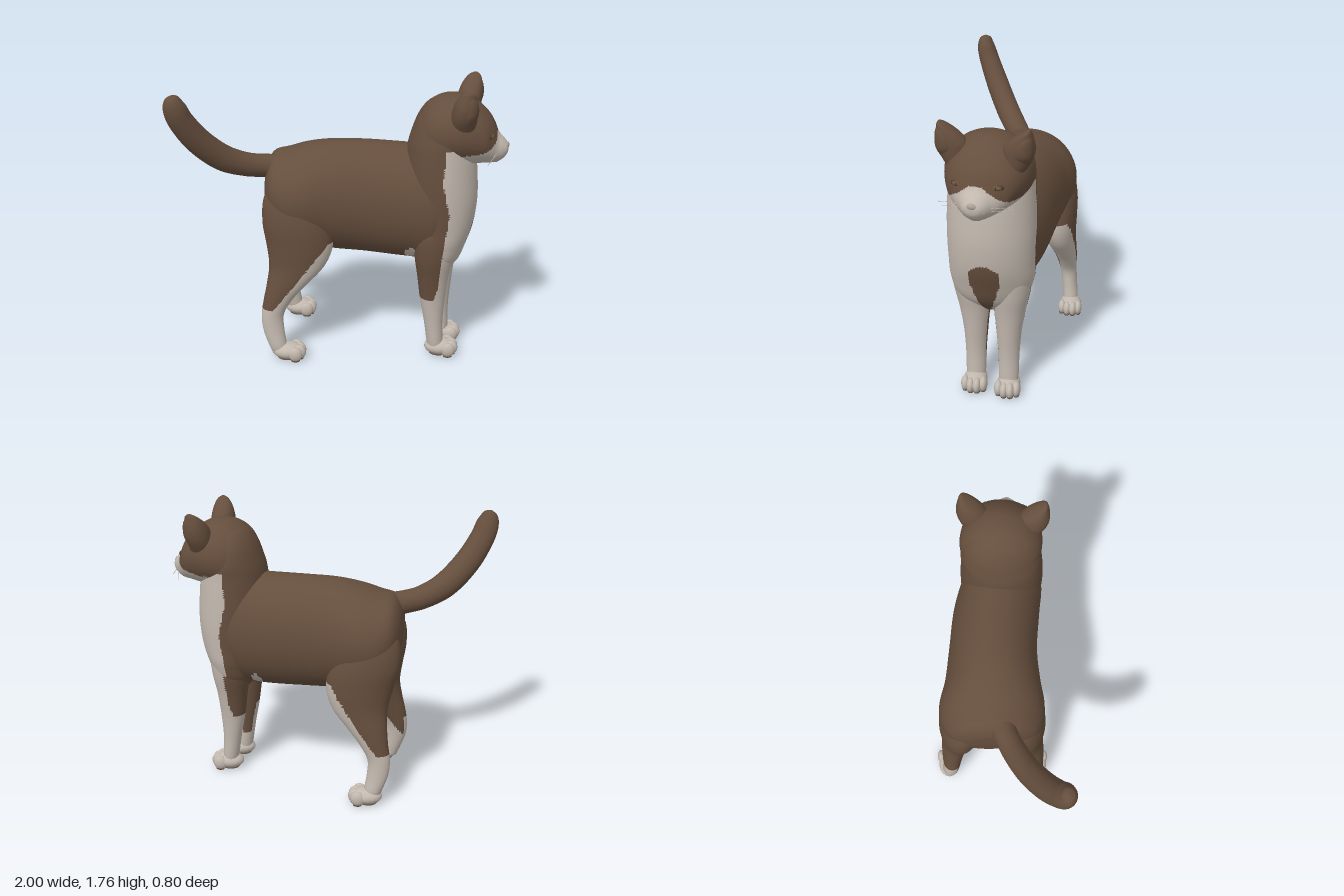
import * as THREE from 'three';

const mat = (name, color) => Object.assign(new THREE.MeshStandardMaterial({ color }), { name });
const brown = mat('brownFur', 0x654e3d);
const white = mat('whiteFur', 0xc2b8ae);
const dark = mat('darkBrown', 0x4c3b2f);
const iris = mat('iris', 0x6b543e);
const noseTone = mat('noseTone', 0xaea095);
const X = new THREE.Vector3(1, 0, 0), Y = new THREE.Vector3(0, 1, 0), Z = new THREE.Vector3(0, 0, 1);
const lerp = THREE.MathUtils.lerp, clamp = THREE.MathUtils.clamp;

// Smooth skin over elliptical sections [x, y, z, radius, radius across z].
// With no axis the sections follow the path. isWhite(x, y, z) picks the fur colour of each face.
function loft(name, sections, axis, isWhite = () => false, n = 64, m = 56) {
  const path = new THREE.CatmullRomCurve3(sections.map(s => new THREE.Vector3(s[0], s[1], s[2])), false, 'catmullrom');
  const radii = new THREE.CatmullRomCurve3(sections.map(s => new THREE.Vector3(s[3], s[4], 0)), false, 'catmullrom');
  const pts = [];
  for (let i = 0; i <= n; i++) {
    const c = path.getPoint(i / n), r = radii.getPoint(i / n);
    const T = axis || path.getTangent(i / n);
    const S = Z.clone().addScaledVector(T, -Z.dot(T)).normalize();
    const U = S.clone().cross(T);
    for (let j = 0; j < m; j++) {
      const a = j / m * Math.PI * 2;
      pts.push(c.clone().addScaledVector(S, Math.max(r.y, 0.002) * Math.cos(a))
        .addScaledVector(U, Math.max(r.x, 0.002) * Math.sin(a)));
    }
  }
  const start = pts.push(path.getPoint(0)) - 1, end = pts.push(path.getPoint(1)) - 1;
  const faces = [[], []];
  const add = (a, b, c) => {
    const p = pts[a].clone().add(pts[b]).add(pts[c]).divideScalar(3);
    faces[isWhite(p.x, p.y, p.z) ? 1 : 0].push(a, b, c);
  };
  for (let j = 0; j < m; j++) {
    const k = (j + 1) % m;
    for (let i = 0; i < n; i++) {
      const a = i * m + j, b = i * m + k;
      add(a, a + m, b);
      add(b, a + m, b + m);
    }
    add(start, j, k);
    add(end, n * m + k, n * m + j);
  }
  const geo = new THREE.BufferGeometry().setFromPoints(pts);
  geo.setIndex([...faces[0], ...faces[1]]);
  geo.addGroup(0, faces[0].length, 0);
  geo.addGroup(faces[0].length, faces[1].length, 1);
  geo.computeVertexNormals();
  const mesh = new THREE.Mesh(geo, [brown, white]);
  mesh.name = name;
  return mesh;
}

// Section helpers: [x, bottom, top, z, half width] and [y, back, front, z, half width]
const alongX = rows => rows.map(([x, b, t, z, w]) => [x, (b + t) / 2, z, (t - b) / 2, w]);
const alongY = (rows, dx = 0) => rows.map(([y, b, f, z, w]) => [(b + f) / 2 + dx, y, z, (f - b) / 2, w]);

function ball(name, material, pos, scale) {
  const mesh = new THREE.Mesh(new THREE.SphereGeometry(1, 18, 12), material);
  mesh.name = name;
  mesh.position.set(...pos);
  mesh.scale.set(...scale);
  return mesh;
}

function tube(name, material, points, r) {
  const curve = new THREE.CatmullRomCurve3(points.map(p => new THREE.Vector3(...p)));
  const mesh = new THREE.Mesh(new THREE.TubeGeometry(curve, 12, r, 6), material);
  mesh.name = name;
  return mesh;
}

// Fur markings
const edge = [[0.38, 0.57], [0.5, 0.61], [0.8, 0.63], [1.0, 0.655], [1.2, 0.61], [1.38, 0.62]];
function bibEdge(y) {
  for (let i = 1; i < edge.length; i++) {
    const [y0, x0] = edge[i - 1], [y1, x1] = edge[i];
    if (y < y1) return lerp(x0, x1, clamp((y - y0) / (y1 - y0), 0, 1));
  }
  return 0.62;
}
function chestWhite(x, y, z) {
  const half = 0.085 * Math.sqrt(clamp((0.94 - y) / 0.05, 0, 1)) * clamp((y - 0.5) / 0.3, 0, 1);
  if (x > 0.6 && Math.abs(z - 0.092) < half) return false;
  const armpit = Math.hypot((x - 0.435) / 0.03, (y - 0.71) / 0.05) < 1;
  return (x > bibEdge(y) && y < 1.4) || armpit;
}

function paw(name, x, z) {
  const g = new THREE.Group();
  g.name = name;
  g.position.set(x, 0, z);
  g.add(ball('pawBody', white, [0, 0.055, 0], [0.1, 0.053, 0.072]));
  [-0.054, -0.019, 0.019, 0.054].forEach((tz, i) => {
    const tx = i % 3 ? 0.068 : 0.048;
    g.add(ball('toe', white, [tx, 0.052, tz], [0.044, 0.048, 0.026]));
    g.add(ball('toePad', brown, [tx, 0.01, tz], [0.028, 0.01, 0.019]));
  });
  g.add(ball('mainPad', brown, [-0.01, 0.01, 0], [0.06, 0.01, 0.05]));
  return g;
}

function makeHead() {
  const head = new THREE.Group();
  head.name = 'head';
  head.position.set(0.62, 0, 0.06);
  head.rotation.y = -0.15;
  const headWhite = (x, y, z) =>
    x > 0.01 && y < 1.365 + 0.11 * clamp((0.2 - Math.abs(z)) / 0.165, 0, 1) ** 1.2;
  head.add(loft('skull', alongX([
    [-0.165, 1.43, 1.48, 0, 0.02], [-0.135, 1.32, 1.585, 0, 0.135], [-0.08, 1.25, 1.645, 0, 0.21],
    [0, 1.25, 1.68, 0, 0.243], [0.1, 1.26, 1.68, 0, 0.24], [0.18, 1.27, 1.645, 0, 0.215],
    [0.25, 1.28, 1.585, 0, 0.178], [0.29, 1.28, 1.53, 0, 0.134], [0.32, 1.285, 1.465, 0, 0.095],
    [0.353, 1.305, 1.43, 0, 0.068], [0.376, 1.335, 1.402, 0, 0.042], [0.383, 1.36, 1.38, 0, 0.01],
  ]), X, headWhite, 96, 80));
  head.add(ball('noseTip', noseTone, [0.369, 1.388, 0], [0.018, 0.02, 0.03]));
  head.add(ball('chin', white, [0.305, 1.302, 0], [0.035, 0.024, 0.045]));
  for (const s of [-1, 1]) {
    head.add(loft('ear', alongY([
      [1.5, 0.05, 0.19, s * 0.155, 0.06], [1.58, 0.05, 0.2, s * 0.175, 0.085], [1.64, 0.058, 0.203, s * 0.187, 0.087],
      [1.69, 0.075, 0.2, s * 0.206, 0.064], [1.725, 0.097, 0.192, s * 0.225, 0.037],
      [1.745, 0.118, 0.18, s * 0.238, 0.019], [1.756, 0.142, 0.162, s * 0.244, 0.006],
    ]), Y, undefined, 32, 28));
    // Raised front rim of the ear
    head.add(loft('earRim', alongY([
      [1.56, 0.12, 0.175, s * 0.205, 0.04], [1.61, 0.1, 0.205, s * 0.205, 0.062], [1.66, 0.1, 0.209, s * 0.212, 0.058],
      [1.7, 0.12, 0.2, s * 0.227, 0.038], [1.73, 0.145, 0.18, s * 0.24, 0.014],
    ]), Y, undefined, 20, 24));
    head.add(ball('eyeRim', dark, [0.27, 1.468, s * 0.1], [0.026, 0.021, 0.047]));
    head.add(ball('iris', iris, [0.279, 1.468, s * 0.103], [0.022, 0.016, 0.036]));
    head.add(ball('pupil', dark, [0.295, 1.468, s * 0.107], [0.007, 0.011, 0.007]));
    head.add(ball('muzzlePad', white, [0.326, 1.355, s * 0.032], [0.045, 0.036, 0.044]));
    head.add(tube('mouthLine', dark, [[0.366, 1.34, 0], [0.357, 1.322, s * 0.025], [0.327, 1.32, s * 0.06]], 0.002));
    head.add(tube('whisker', white, [[0.33, 1.35, s * 0.06], [0.305, 1.345, s * 0.13], [0.275, 1.32, s * 0.2]], 0.0016));
    head.add(tube('whisker', white, [[0.33, 1.36, s * 0.06], [0.315, 1.37, s * 0.13], [0.3, 1.36, s * 0.21]], 0.0016));
  }
  return head;
}

export function createModel() {
  const cat = new THREE.Group();
  cat.name = 'cat';

  cat.add(loft('torso', alongX([
    [-0.468, 1.04, 1.1, -0.02, 0.05], [-0.455, 0.92, 1.2, -0.02, 0.17], [-0.41, 0.82, 1.275, -0.02, 0.26],
    [-0.32, 0.74, 1.3, -0.02, 0.31], [-0.2, 0.7, 1.335, -0.02, 0.318], [-0.05, 0.665, 1.36, -0.01, 0.29],
    [0.15, 0.65, 1.365, 0, 0.272], [0.4, 0.635, 1.36, 0.03, 0.27], [0.58, 0.64, 1.36, 0.065, 0.255],
    [0.7, 0.75, 1.3, 0.07, 0.2], [0.76, 0.95, 1.1, 0.07, 0.05],
  ]), X, chestWhite, 90, 72));

  // Chest column running up into the nape
  cat.add(loft('chestAndNeck', alongY([
    [0.57, 0.54, 0.67, 0.075, 0.06], [0.66, 0.47, 0.74, 0.075, 0.2], [0.78, 0.45, 0.785, 0.07, 0.243],
    [0.9, 0.425, 0.82, 0.07, 0.25], [1.05, 0.4, 0.835, 0.07, 0.255], [1.2, 0.39, 0.828, 0.07, 0.253],
    [1.36, 0.402, 0.81, 0.068, 0.244], [1.45, 0.424, 0.79, 0.063, 0.237], [1.55, 0.462, 0.75, 0.062, 0.208],
    [1.62, 0.512, 0.71, 0.062, 0.15], [1.66, 0.57, 0.66, 0.062, 0.05],
  ]), Y, chestWhite, 130, 96));

  cat.add(loft('tail', [
    [-0.34, 1.19, 0.02, 0.085, 0.09], [-0.45, 1.21, 0.05, 0.072, 0.072], [-0.57, 1.235, 0.1, 0.073, 0.073],
    [-0.7, 1.3, 0.17, 0.08, 0.075], [-0.82, 1.425, 0.25, 0.08, 0.073], [-0.9, 1.56, 0.315, 0.075, 0.066],
    [-0.93, 1.65, 0.345, 0.068, 0.058], [-0.942, 1.71, 0.352, 0.042, 0.038], [-0.946, 1.728, 0.354, 0.008, 0.008],
  ], undefined, undefined, 56, 36));

  // Front legs: the right one stands slightly ahead of the left; brown runs lower on the inner sides
  for (const [side, s, cz, dx] of [['left', 1, 0.18, 0], ['right', -1, -0.025, 0.045]]) {
    const legWhite = (x, y, z) => {
      if (y > 0.18 && s * (z - cz) < -0.04) return x - dx > 0.605;
      return y < 0.41 || x > bibEdge(y) + dx * 0.5;
    };
    cat.add(loft(side + 'FrontLeg', alongY([
      [0.05, 0.56, 0.66, cz, 0.055], [0.12, 0.55, 0.655, cz, 0.06], [0.25, 0.53, 0.65, cz, 0.063],
      [0.4, 0.502, 0.66, cz, 0.074], [0.55, 0.482, 0.675, cz + s * 0.005, 0.092],
      [0.7, 0.46, 0.7, cz + s * 0.015, 0.112], [0.85, 0.46, 0.71, cz + s * 0.018, 0.113],
      [0.98, 0.52, 0.68, cz + s * 0.01, 0.08],
    ], dx), Y, legWhite));
    cat.add(paw(side + 'FrontPaw', 0.64 + dx * 0.6, cz));
  }

  // Hind legs: the right one steps forward below the knee
  for (const [side, s, cz, dx] of [['left', 1, 0.275, 0], ['right', -1, -0.315, 0.05]]) {
    const hip = cz - s * 0.09;
    const step = y => dx * clamp((0.9 - y) / 0.5, 0, 1);
    const legWhite = (x, y, z) => {
      const inner = s * (z - cz) < -0.025 - 0.09 * clamp((y - 0.1) / 0.6, 0, 1);
      const front = -0.1 + (y - 0.74) * 0.78 + (inner ? 0.05 : 0);
      return y < (inner ? 0.2 : 0.34) || (y < 0.78 && x - step(y) > front);
    };
    cat.add(loft(side + 'HindLeg', alongY([
      [0.04, -0.42, -0.32, cz, 0.045], [0.1, -0.445, -0.33, cz, 0.05], [0.2, -0.478, -0.345, cz - s * 0.01, 0.05],
      [0.3, -0.485, -0.345, cz - s * 0.02, 0.055], [0.4, -0.47, -0.29, cz - s * 0.03, 0.066],
      [0.5, -0.45, -0.2, cz - s * 0.045, 0.08], [0.62, -0.435, -0.09, cz - s * 0.07, 0.1],
      [0.75, -0.45, -0.04, hip, 0.124], [0.9, -0.472, -0.05, hip - s * 0.01, 0.132],
      [1.05, -0.46, -0.1, hip - s * 0.035, 0.12], [1.18, -0.38, -0.18, hip - s * 0.07, 0.06],
    ]).map(([x, y, ...rest]) => [x + step(y), y, ...rest]), Y, legWhite));
    cat.add(paw(side + 'HindPaw', -0.32 + dx * 0.5, cz + s * 0.005));
  }

  cat.add(makeHead());
  return cat;
}
